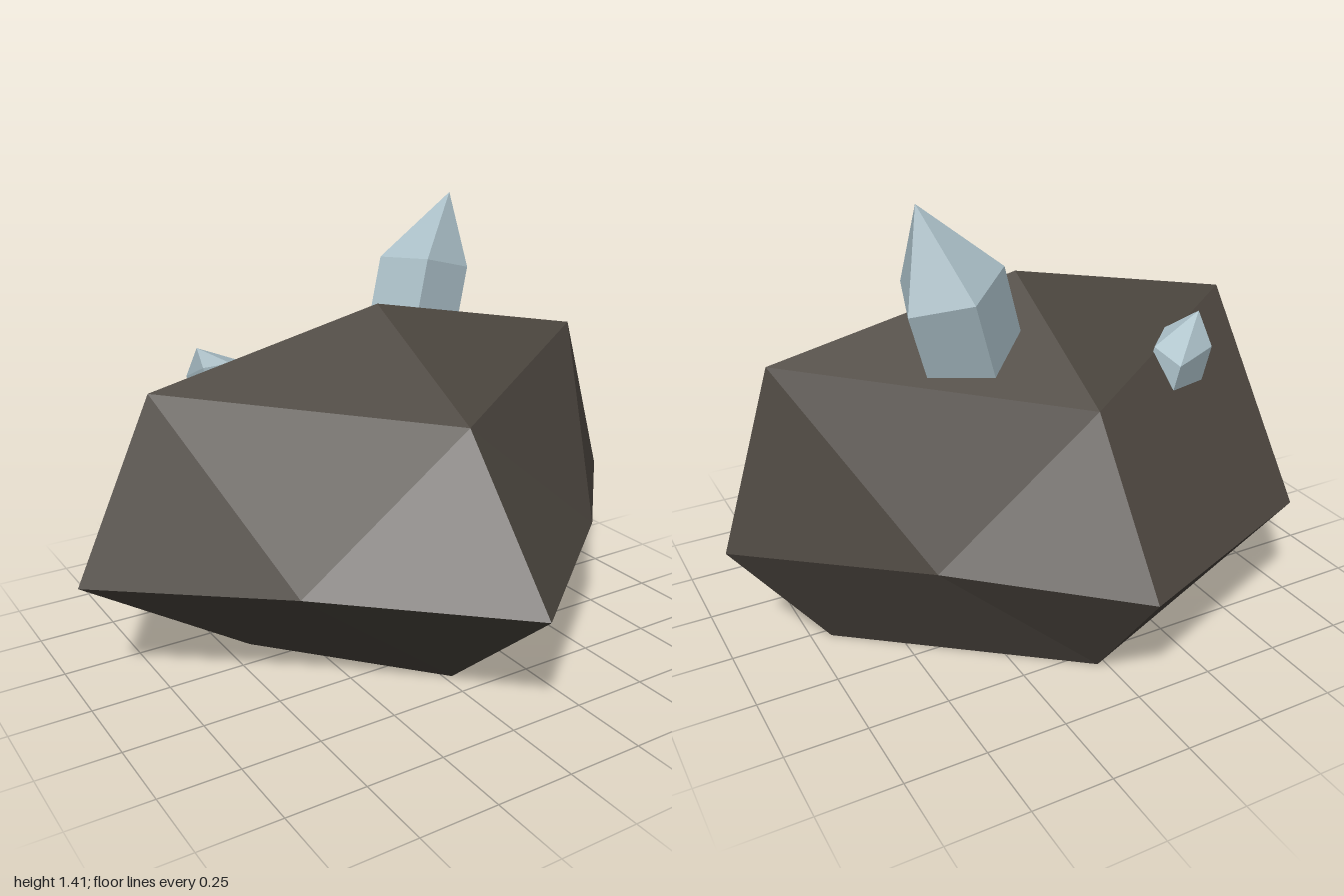
import * as THREE from 'three';

// Boulder corners, keyed by the octant signs of the subdivided octahedron
const ROCK = {
  '0,1,0': [0.025, 1.11, -0.03], '0,-1,0': [0.025, 0, -0.03],
  // shoulder ring
  '1,1,0': [0.82, 0.95, -0.03], '-1,1,0': [-0.75, 0.94, -0.03],
  '0,1,1': [0.025, 0.84, 0.47], '0,1,-1': [0.025, 0.84, -0.53],
  // widest ring
  '1,0,0': [0.99, 0.39, -0.03], '-1,0,0': [-1, 0.39, -0.03],
  '0,0,1': [0.025, 0.39, 0.86], '0,0,-1': [0.025, 0.39, -0.86],
  '1,0,1': [0.59, 0.39, 0.4], '-1,0,1': [-0.49, 0.39, 0.38],
  '-1,0,-1': [-0.67, 0.39, -0.58], '1,0,-1': [0.49, 0.39, -0.43],
  // foot ring
  '1,-1,0': [0.69, 0, -0.03], '-1,-1,0': [-0.46, 0.05, -0.03],
  '0,-1,1': [0.025, 0, 0.41], '0,-1,-1': [0.025, 0, -0.56],
};

function rockGeometry() {
  const geo = new THREE.OctahedronGeometry(1, 1);
  const pos = geo.attributes.position;
  const sign = (v) => (v > 0.1 ? 1 : v < -0.1 ? -1 : 0);
  for (let i = 0; i < pos.count; i++) {
    const key = [pos.getX(i), pos.getY(i), pos.getZ(i)].map(sign).join(',');
    pos.setXYZ(i, ...ROCK[key]);
  }
  geo.computeVertexNormals();
  return geo;
}

// Faceted crystal: shoulder ring, off-centre tip, and shaft running down along -axis
function crystalGeometry(ring, tip, axis, length) {
  const base = ring.map((p) => p.map((v, k) => v - axis[k] * length));
  const n = ring.length;
  const tris = [];
  for (let i = 0; i < n; i++) {
    const j = (i + 1) % n;
    tris.push(ring[i], ring[j], tip);
    tris.push(base[i], base[j], ring[j], base[i], ring[j], ring[i]);
    if (i > 0 && j > 0) tris.push(base[0], base[j], base[i]);
  }
  const geo = new THREE.BufferGeometry();
  geo.setAttribute('position', new THREE.Float32BufferAttribute(tris.flat(), 3));
  geo.computeVertexNormals();
  return geo;
}

export function createModel() {
  const group = new THREE.Group();
  const stone = new THREE.MeshStandardMaterial({ color: 0x4b453e });
  stone.name = 'darkStone';
  const crystal = new THREE.MeshStandardMaterial({ color: 0xa9bec6 });
  crystal.name = 'paleCrystal';

  const add = (name, geo, mat) => {
    const mesh = new THREE.Mesh(geo, mat);
    mesh.name = name;
    group.add(mesh);
  };

  add('boulder', rockGeometry(), stone);

  add('largeCrystal', crystalGeometry(
    [[0.177, 1.21, -0.25], [0.25, 1.22, -0.08], [0.44, 1.17, -0.12],
      [0.485, 1.115, -0.273], [0.32, 1.147, -0.356]],
    [0.425, 1.41, -0.21], [0.32, 1, -0.15], 0.4), crystal);

  add('smallCrystal', crystalGeometry(
    [[-0.495, 0.875, -0.35], [-0.475, 0.92, -0.26], [-0.385, 0.925, -0.25],
      [-0.3, 0.9, -0.32], [-0.335, 0.86, -0.41]],
    [-0.479, 0.978, -0.294], [-0.2, 1, -0.1], 0.2), crystal);

  return group;
}
